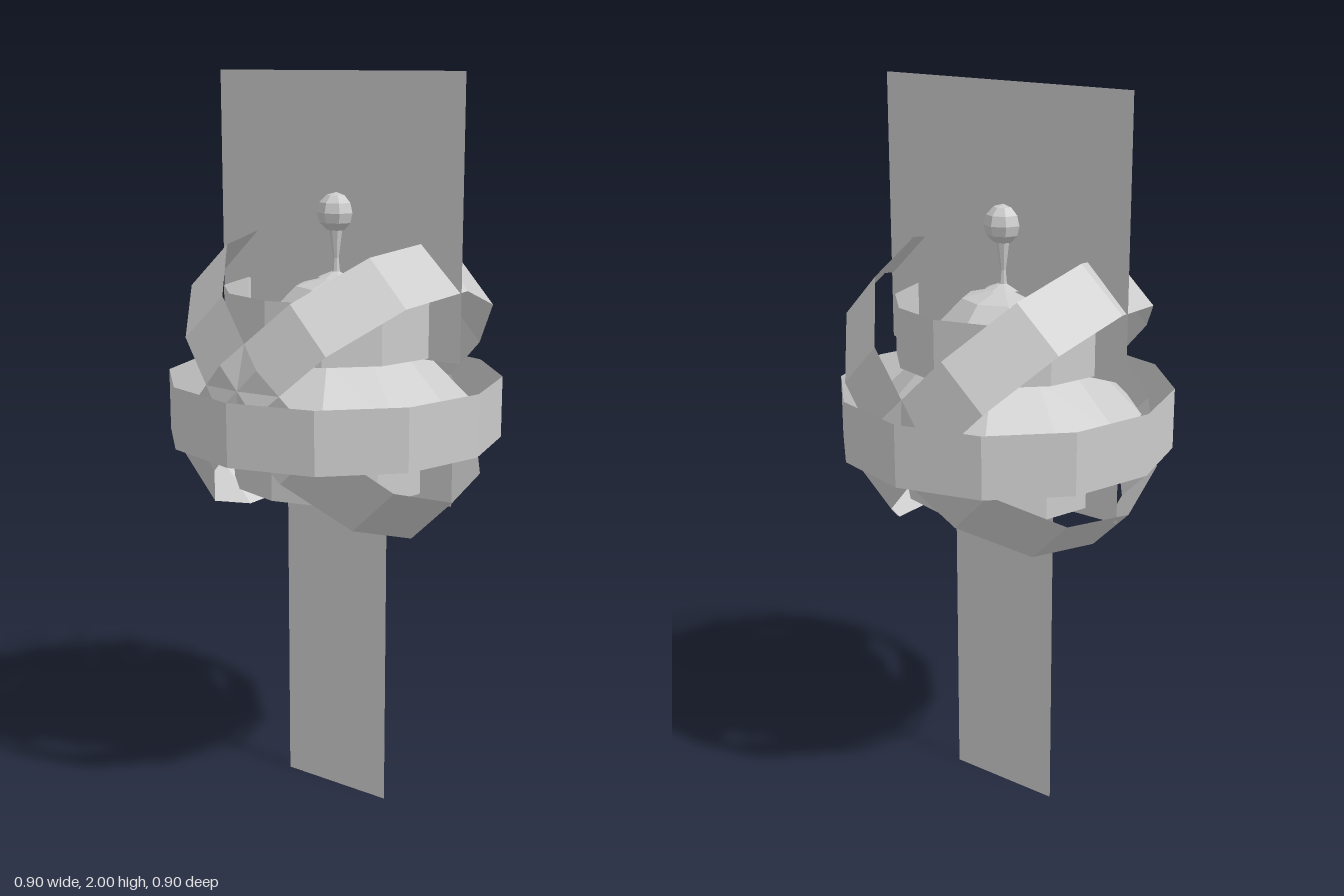
import * as THREE from 'three';

export function createModel() {
  const model = new THREE.Group();
  const grey = new THREE.MeshStandardMaterial({ color: 0xcccccc, flatShading: true, side: THREE.DoubleSide });
  grey.name = 'plain grey';

  function add(name, geometry, x = 0, y = 0, z = 0, parent = model) {
    const mesh = new THREE.Mesh(geometry, grey);
    mesh.name = name;
    mesh.position.set(x, y, z);
    parent.add(mesh);
    return mesh;
  }
  const tube = (r, h, sides = 12) => new THREE.CylinderGeometry(r, r, h, sides, 1, true);
  const lathe = (pts, sides) => new THREE.LatheGeometry(pts.map(p => new THREE.Vector2(...p)), sides);

  // Flat upright panels through the centre
  add('upperPanel', new THREE.PlaneGeometry(0.775, 0.72), 0, 1.64, -0.01);
  add('lowerPanel', new THREE.PlaneGeometry(0.335, 0.9), 0, 0.45, -0.01);
  add('lowerPanelHead', new THREE.PlaneGeometry(0.74, 0.13), 0, 0.965, -0.01);

  // Saucer body: sloping skirt with a flat top and a shallow underside
  add('saucer', lathe([[0.1, 1.06], [0.22, 1.1], [0.37, 1.14], [0.23, 1.28], [0.19, 1.28]], 12), 0, 0, -0.01);

  // Faceted globe: its upper half is the dome, its lower tip shows beneath
  add('dome', new THREE.SphereGeometry(0.217, 8, 6), 0, 1.26, -0.01);

  // Open collars above and below the saucer
  add('upperCollar', tube(0.295, 0.16), 0, 1.365, 0);
  add('lowerCollar', tube(0.275, 0.11), 0, 0.975, 0);

  // Antenna: thin flared stem and ball
  add('antennaStem', lathe([[0.05, 1.47], [0.012, 1.485], [0.008, 1.52], [0.02, 1.6]], 8), 0, 0, -0.01);
  add('antennaBall', new THREE.SphereGeometry(0.052, 8, 6), 0, 1.64, -0.01);

  // Three small balls under the saucer
  for (const [x, z] of [[0.2, -0.24], [-0.2, -0.24], [0, 0.28]])
    add('undersideBall', new THREE.SphereGeometry(0.05, 8, 6), x, 1.085, z);

  // One level ring and two crossed rings that lean slightly back
  add('levelRing', tube(0.45, 0.165), 0, 1.13, 0);
  const crossed = new THREE.Group();
  crossed.name = 'crossedRings';
  crossed.position.set(0, 1.192, -0.01);
  crossed.rotation.x = -0.1;
  model.add(crossed);
  for (const side of [1, -1]) {
    const ring = add('tiltedRing', tube(1, 0.165), 0, 0, 0, crossed);
    ring.scale.set(0.468, 1, 0.42);
    ring.rotation.z = side * Math.PI / 4;
  }
  return model;
}
